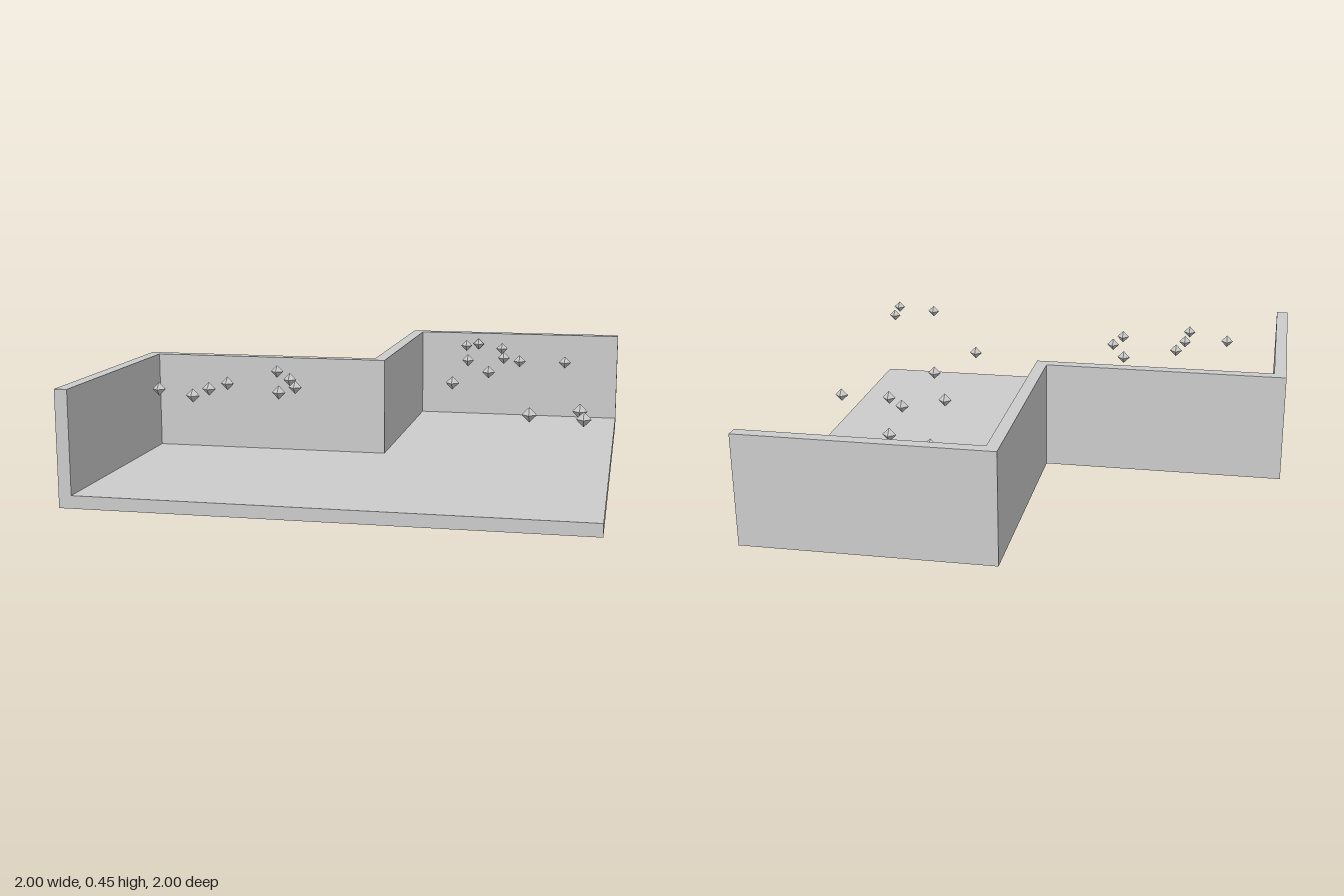
import * as THREE from 'three';

const material = new THREE.MeshStandardMaterial({ color: 0xcccccc, flatShading: true });

// Vertical prism from an (x, z) outline, between two heights.
function prism(name, outline, bottom, top) {
  const shape = new THREE.Shape(outline.map(([x, z]) => new THREE.Vector2(x, z)));
  const geometry = new THREE.ExtrudeGeometry(shape, { depth: top - bottom, bevelEnabled: false });
  geometry.rotateX(Math.PI / 2).translate(0, top, 0);
  const mesh = new THREE.Mesh(geometry, material);
  mesh.name = name;
  return mesh;
}

export function createModel() {
  const group = new THREE.Group();
  group.name = 'steppedRoom';
  const thickness = 0.05;

  // L-shaped floor slab
  const floorOutline = [[-1, 0], [0, 0], [0, -1], [1, -1], [1, 1], [-1, 1]];
  group.add(prism('floor', floorOutline, 0, thickness));

  // One continuous wall that follows the stepped back edge
  const outer = [[-1, 1], [-1, 0], [0, 0], [0, -1], [1, -1]];
  const t = thickness;
  const inner = [[1, -1 + t], [t, -1 + t], [t, t], [-1 + t, t], [-1 + t, 1]];
  group.add(prism('wall', [...outer, ...inner], thickness, 0.45));

  // Small floating octahedral markers, as (x, z) positions
  const markers = new THREE.Group();
  markers.name = 'floatingMarkers';
  const markerGeometry = new THREE.OctahedronGeometry(0.027);
  const positions = [
    [0.33, -0.93], [0.28, -0.86], [0.46, -0.78], [0.5, -0.47], [0.35, -0.37],
    [0.58, -0.38], [0.78, -0.38], [0.48, -0.04], [0.37, 0.27], [0.9, 0.8],
    [0.73, 0.9], [0.92, 0.95], [-0.4, 0.12], [-0.29, 0.32], [-0.51, 0.46],
    [-0.22, 0.5], [-0.54, 0.6], [-0.25, 0.63], [-0.73, 0.64], [-0.55, 0.76],
  ];
  positions.forEach(([x, z], i) => {
    const marker = new THREE.Mesh(markerGeometry, material);
    marker.name = `marker${i + 1}`;
    marker.position.set(x, 0.4, z);
    markers.add(marker);
  });
  group.add(markers);

  return group;
}
